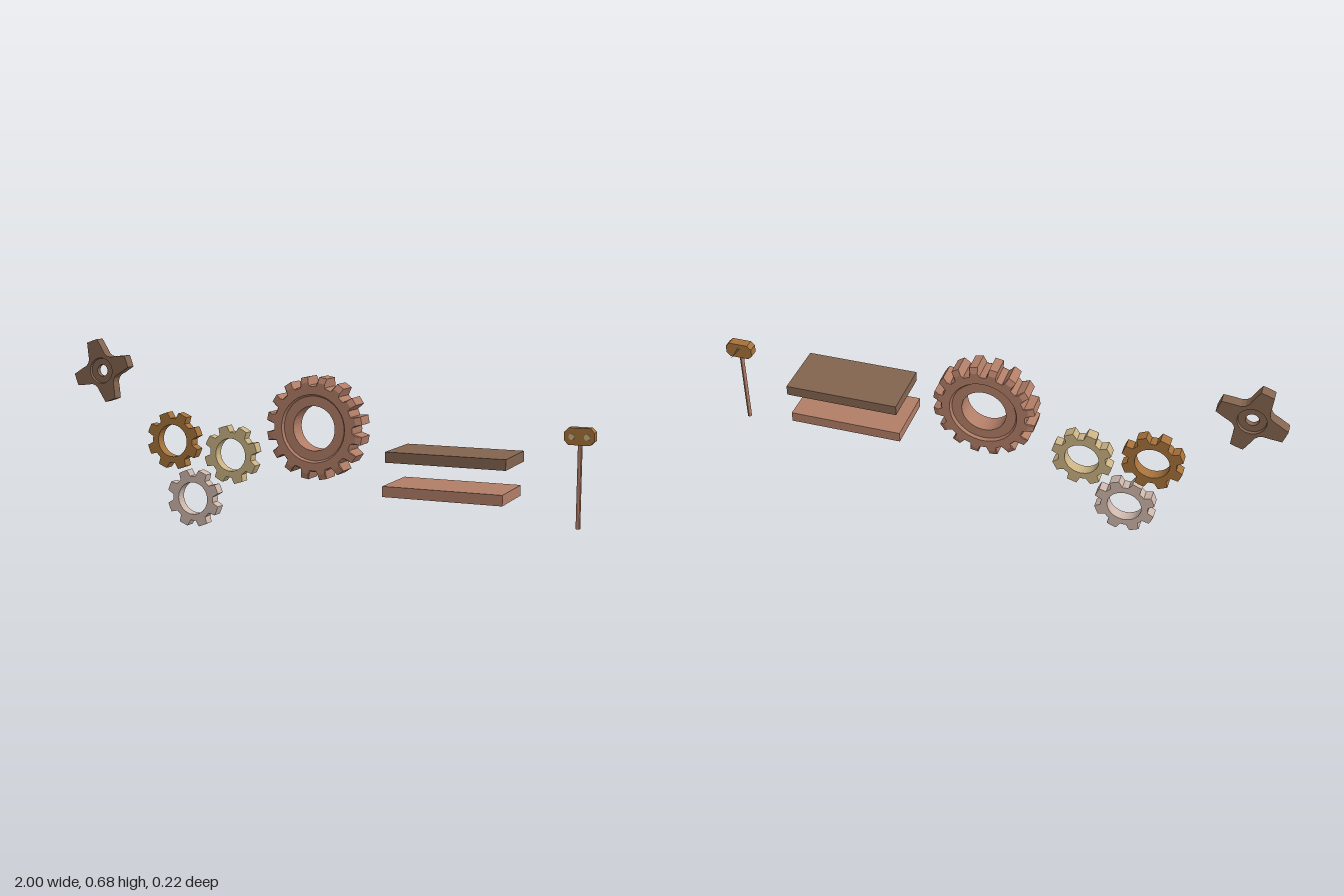
import * as THREE from 'three';

const mat = (name, color, flatShading = true) => {
  const m = new THREE.MeshStandardMaterial({ color, flatShading });
  m.name = name;
  return m;
};

// Repeats one tooth (pairs of [degrees, height 0..1]) around the circle.
function toothOutline(count, offset, tooth) {
  const points = [];
  for (let i = 0; i < count; i++)
    for (const [deg, h] of tooth)
      points.push([THREE.MathUtils.degToRad(offset + (i * 360) / count + deg), h]);
  return points;
}

// Closed ring body: each profile row is [z, valley radius, tip radius],
// running from the hole over the front, the rim and the back.
function ringBody(outline, profile) {
  const n = outline.length, rows = profile.length;
  const pos = [], index = [];
  for (const [z, low, high] of profile)
    for (const [a, h] of outline) {
      const r = low + (high - low) * h;
      pos.push(r * Math.cos(a), r * Math.sin(a), z);
    }
  for (let j = 0; j < rows; j++)
    for (let i = 0; i < n; i++) {
      const k = (i + 1) % n, m = (j + 1) % rows;
      const a = j * n + i, b = j * n + k, c = m * n + i, d = m * n + k;
      index.push(a, c, b, b, c, d);
    }
  const g = new THREE.BufferGeometry();
  g.setAttribute('position', new THREE.Float32BufferAttribute(pos, 3));
  g.setIndex(index);
  const flat = g.toNonIndexed();
  flat.computeVertexNormals();
  return flat;
}

export function createModel() {
  const model = new THREE.Group();
  const darkBrown = mat('darkBrown', 0x83644f);
  const ochre = mat('ochre', 0xa5713a);
  const sand = mat('sand', 0xcab283);
  const paleRose = mat('paleRose', 0xcdb6aa);
  const clay = mat('clay', 0xb17d67);
  const olive = mat('olive', 0x8a7a4a);

  const add = (name, geometry, material, x, y, z, parent = model) => {
    const mesh = new THREE.Mesh(geometry, material);
    mesh.name = name;
    mesh.position.set(x, y, z);
    parent.add(mesh);
    return mesh;
  };

  // Four-armed star knob with a countersunk hole
  const arm = [[-45, 0], [-33, 0.08], [-22, 0.4], [-11, 1], [0, 0.97], [11, 1], [22, 0.4], [33, 0.08]];
  add('starKnob', ringBody(toothOutline(4, 19, arm), [
    [-0.01, 0.022, 0.022], [0.01, 0.022, 0.022], [0.01, 0.046, 0.046], [0.02, 0.048, 0.048],
    [0.02, 0.062, 0.119], [-0.02, 0.062, 0.119],
    [-0.02, 0.048, 0.048], [-0.01, 0.046, 0.046],
  ]), darkBrown, -0.883, 0.565, -0.08);

  // Three small eight-toothed gears
  const tooth = [[-22.5, 0], [-15, 0], [-9.5, 1], [0, 0.96], [9.5, 1], [15, 0]];
  for (const [name, material, x, y, turn] of [
    ['upperLeftGear', ochre, -0.578, 0.316, 21],
    ['upperRightGear', sand, -0.337, 0.278, 17],
    ['lowerGear', paleRose, -0.495, 0.106, 22.5],
  ])
    add(name, ringBody(toothOutline(8, turn, tooth), [
      [-0.02, 0.06, 0.06], [0.02, 0.06, 0.06], [0.02, 0.083, 0.107], [-0.02, 0.083, 0.107],
    ]), material, x, y, -0.08);

  // Large sixteen-toothed gear with chamfered teeth and recessed faces
  const bigTooth = [[-11.25, 0], [-7, 0], [-4.6, 1], [4.6, 1], [7, 0]];
  add('largeGear', ringBody(toothOutline(16, 11.25, bigTooth), [
    [-0.035, 0.079, 0.079], [0.035, 0.079, 0.079], [0.035, 0.114, 0.114], [0.045, 0.12, 0.12],
    [0.045, 0.148, 0.162], [0.036, 0.153, 0.182],
    [-0.036, 0.153, 0.182], [-0.045, 0.148, 0.162],
    [-0.045, 0.12, 0.12], [-0.035, 0.114, 0.114],
  ]), clay, 0.013, 0.398, -0.055);

  // Two flat slabs
  const slab = new THREE.BoxGeometry(0.412, 0.036, 0.215);
  add('upperSlab', slab, darkBrown, 0.537, 0.335, 0.0075);
  add('lowerSlab', slab, clay, 0.528, 0.219, 0.0075);

  // Mallet: handle, chamfered head, two face studs and a rear spike
  const mallet = new THREE.Group();
  mallet.name = 'mallet';
  mallet.position.set(0.948, 0, -0.023);
  model.add(mallet);
  add('malletHandle', new THREE.CylinderGeometry(0.0075, 0.0075, 0.29, 10), clay, 0, 0.265, 0, mallet);
  const w = 0.049, h = 0.028, c = 0.014;
  const headShape = new THREE.Shape([
    [-w, -h + c], [-w + c, -h], [w - c, -h], [w, -h + c],
    [w, h - c], [w - c, h], [-w + c, h], [-w, h - c],
  ].map(([x, y]) => new THREE.Vector2(x, y)));
  const head = new THREE.ExtrudeGeometry(headShape, { depth: 0.034, bevelEnabled: false });
  add('malletHead', head, ochre, 0, 0.423, -0.017, mallet);
  for (const side of [-1, 1]) {
    const stud = add('headStud', new THREE.CylinderGeometry(0.01, 0.01, 0.004, 10), sand, side * 0.025, 0.422, 0.018, mallet);
    stud.rotation.x = Math.PI / 2;
  }
  const spike = add('rearSpike', new THREE.ConeGeometry(0.004, 0.07, 6), olive, 0, 0.433, -0.05, mallet);
  spike.rotation.x = -Math.PI / 2;

  return model;
}
